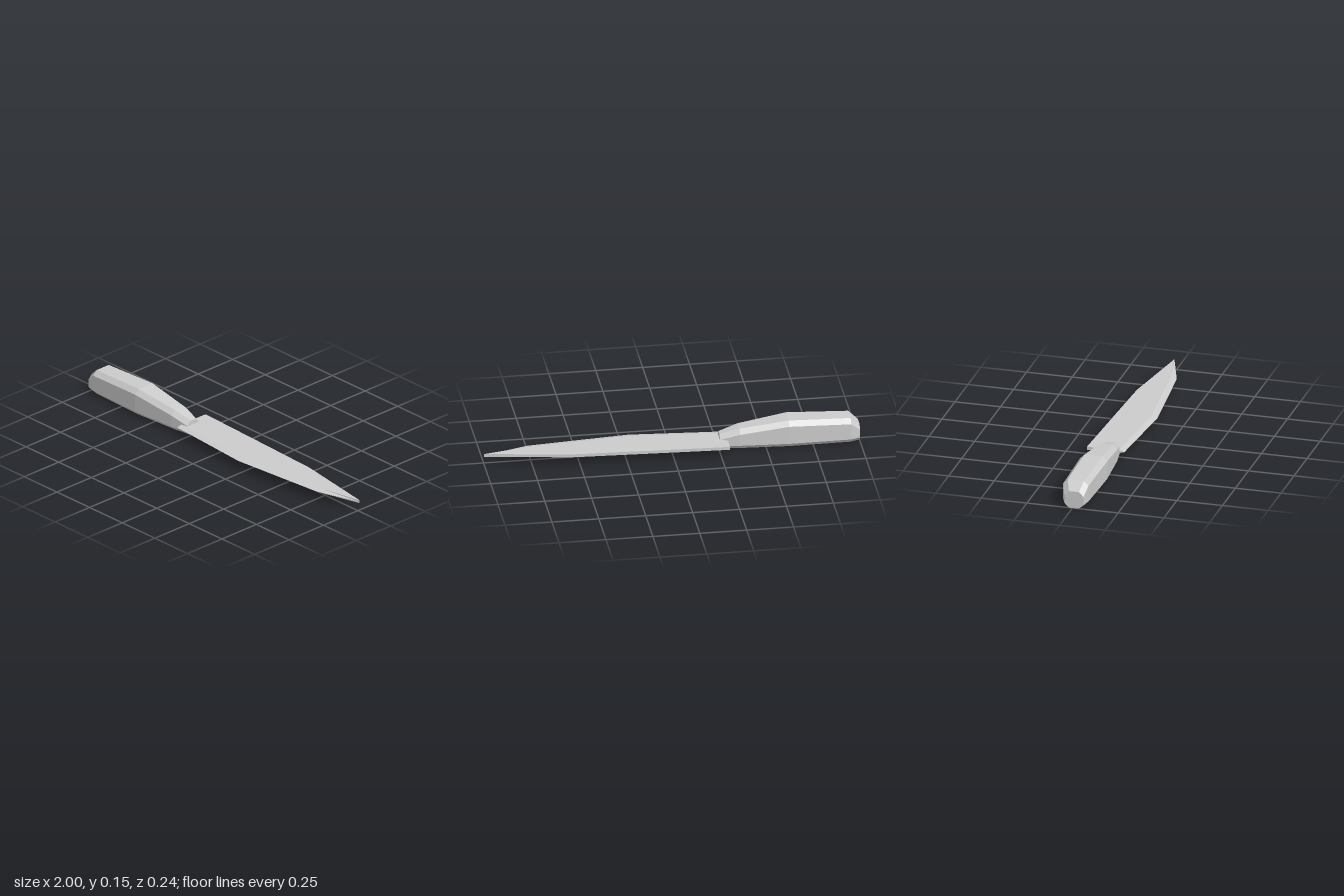
import * as THREE from 'three';

// Joins rings of points along x into a closed, faceted solid
function loft(rings) {
  const pos = [];
  const tri = (...pts) => pts.forEach((p) => pos.push(...p));
  const n = rings[0].length;
  for (let i = 0; i < rings.length - 1; i++) {
    for (let j = 0; j < n; j++) {
      const k = (j + 1) % n;
      const a = rings[i][j], b = rings[i][k], c = rings[i + 1][k], d = rings[i + 1][j];
      tri(a, b, c);
      tri(a, c, d);
    }
  }
  const first = rings[0], last = rings[rings.length - 1];
  for (let j = 1; j < n - 1; j++) {
    tri(first[0], first[j + 1], first[j]);
    tri(last[0], last[j], last[j + 1]);
  }
  const geo = new THREE.BufferGeometry();
  geo.setAttribute('position', new THREE.Float32BufferAttribute(pos, 3));
  geo.computeVertexNormals();
  return geo;
}

// Chamfered rectangle across the handle
function handleRing([x, top, zBack, zFront]) {
  const c = 0.025, y0 = 0.001;
  return [
    [x, top, zBack + c], [x, top, zFront - c],
    [x, top - c, zFront], [x, y0 + c, zFront],
    [x, y0, zFront - c], [x, y0, zBack + c],
    [x, y0 + c, zBack], [x, top - c, zBack],
  ];
}

// Flat spine with a ground cutting edge on the +z side
function bladeRing([x, zSpine, zBevel, zEdge]) {
  const mid = 0.05, h = 0.0085;
  return [
    [x, mid + h, zSpine], [x, mid + h, zBevel], [x, mid, zEdge],
    [x, mid - h, zBevel], [x, mid - h, zSpine],
  ];
}

export function createModel() {
  const group = new THREE.Group();
  const grey = new THREE.MeshStandardMaterial({ color: 0xcccccc, flatShading: true });
  grey.name = 'light grey';

  // Handle: x, top height, back z, front z
  const handle = new THREE.Mesh(loft([
    [-1, 0.095, -0.045, 0.06],
    [-0.95, 0.14, -0.065, 0.073],
    [-0.62, 0.151, -0.068, 0.082],
    [-0.36, 0.115, -0.052, 0.064],
    [-0.255, 0.085, -0.035, 0.048],
  ].map(handleRing)), grey);
  handle.name = 'handle';

  // Blade: x, spine z, bevel z, cutting edge z
  const blade = new THREE.Mesh(loft([
    [-0.295, -0.122, 0.053, 0.083],
    [0.21, -0.1, 0.088, 0.121],
    [0.54, -0.085, 0.059, 0.091],
    [0.76, -0.05, 0.04, 0.07],
    [1, -0.012, -0.011, -0.01],
  ].map(bladeRing)), grey);
  blade.name = 'blade';

  group.add(handle, blade);
  return group;
}
